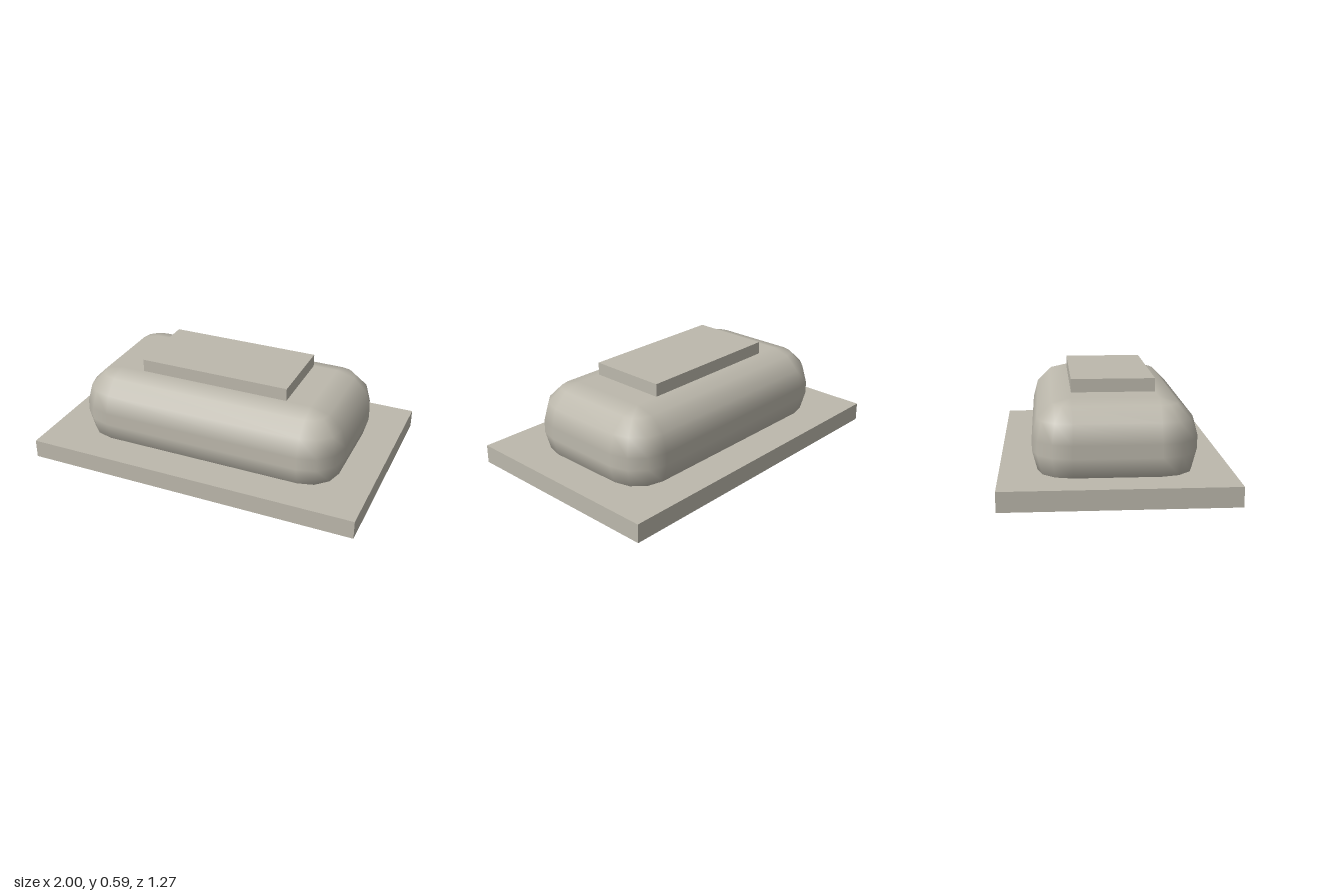
import * as THREE from 'three';

const stone = new THREE.MeshStandardMaterial({ color: 0xbcb8ac });
stone.name = 'warm grey';
const dark = new THREE.MeshStandardMaterial({ color: 0x2a2a2a });
dark.name = 'dark underside';

function box(name, w, y0, y1, d, material) {
  const mesh = new THREE.Mesh(new THREE.BoxGeometry(w, y1 - y0, d), material);
  mesh.name = name;
  mesh.position.y = (y0 + y1) / 2;
  return mesh;
}

// Box with edges rounded in three 30 degree steps: a sphere whose eight octants
// are pulled apart to the corners, with flat caps on the top and bottom.
function pillow(hx, hy, hz, r) {
  const geo = new THREE.SphereGeometry(1, 16, 9);
  const pos = geo.attributes.position, nor = geo.attributes.normal;
  const step = Math.PI / 6;
  const signX = [-1, 1, 1, -1], signZ = [1, 1, -1, -1];
  for (let row = 0; row <= 9; row++) {
    const upper = row < 5;
    const fromPole = Math.max(0, (upper ? row : 9 - row) - 1) * step;
    const sy = upper ? 1 : -1;
    const isCentre = row === 0 || row === 9;
    for (let col = 0; col <= 16; col++) {
      const i = row * 17 + col;
      const corner = Math.floor(col / 4) % 4;
      const a = corner * Math.PI / 2 + (col % 4) * step;
      const nx = -Math.cos(a) * Math.sin(fromPole);
      const ny = sy * Math.cos(fromPole);
      const nz = Math.sin(a) * Math.sin(fromPole);
      const spread = isCentre ? 0 : 1;
      pos.setXYZ(i,
        spread * signX[corner] * (hx - r) + nx * r,
        sy * (hy - r) + ny * r,
        spread * signZ[corner] * (hz - r) + nz * r);
      nor.setXYZ(i, nx, ny, nz);
    }
  }
  return geo;
}

export function createModel() {
  const model = new THREE.Group();
  model.name = 'cushionBlock';

  // Flat plinth
  model.add(box('base', 2, 0, 0.11, 1.27, stone));

  // Rounded body sunk into the plinth
  const body = new THREE.Mesh(pillow(0.817, 0.253, 0.454, 0.217), stone);
  body.name = 'body';
  body.position.y = 0.257;
  model.add(body);

  // Raised plate on top
  model.add(box('topPlate', 0.906, 0.5, 0.585, 0.47, stone));

  // Dark panel under the plinth
  model.add(box('undersidePanel', 1.2, -0.001, 0.003, 0.47, dark));

  return model;
}
